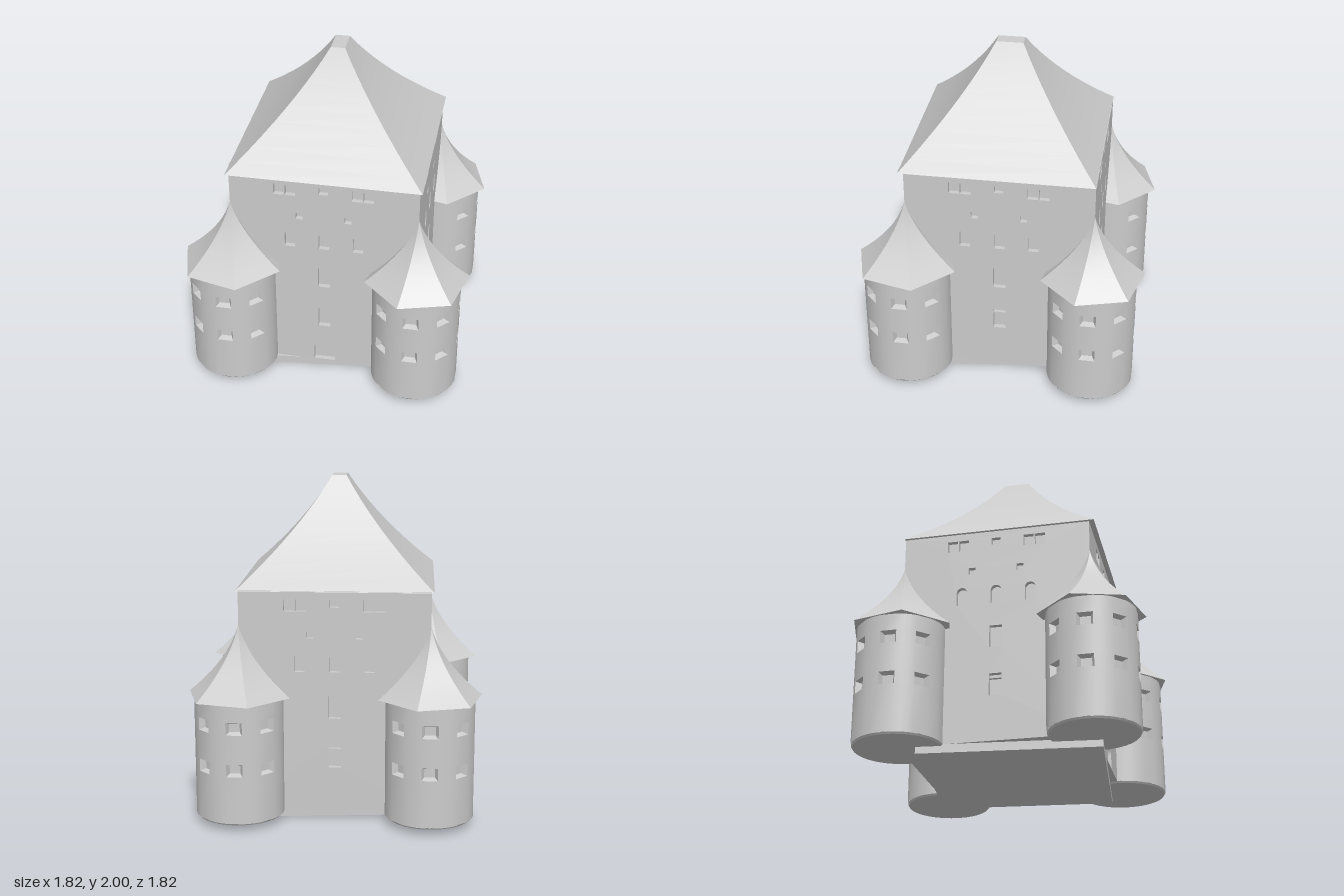
import * as THREE from 'three';
import { toCreasedNormals } from 'three/addons/utils/BufferGeometryUtils.js';

const material = new THREE.MeshStandardMaterial({ color: 0xcccccc });
const RAD = Math.PI / 180;
const HALF = 0.56;        // half width of the keep
const WALL = 0.03;        // depth of the window recesses
const BASE = 0.05, EAVES = 1.38;
const TOWER_R = 0.264, TOWER_EAVES = 0.76;

function part(name, geometry, parent, x = 0, y = 0, z = 0) {
  const mesh = new THREE.Mesh(geometry, material);
  mesh.name = name;
  mesh.position.set(x, y, z);
  parent.add(mesh);
  return mesh;
}

// Collects quads and turns them into a creased geometry
function quadBuilder() {
  const data = [];
  return {
    quad(a, b, c, d) { for (const p of [a, b, c, a, c, d]) data.push(...p); },
    tri(a, b, c) { for (const p of [a, b, c]) data.push(...p); },
    build(crease) {
      const g = new THREE.BufferGeometry();
      g.setAttribute('position', new THREE.Float32BufferAttribute(data, 3));
      return toCreasedNormals(g, crease);
    },
  };
}

// Roof that sweeps inward in a hollow curve from the base polygon to the top polygon
function sweptRoof(base, top, y0, y1, hollow, steps = 10) {
  const b = quadBuilder(), n = base.length;
  const point = (i, s) => {
    const t = s / steps, f = (1 - t) - hollow * t * (1 - t);
    const p = base[i % n], q = top[i % n];
    return [q[0] + (p[0] - q[0]) * f, y0 + (y1 - y0) * t, q[1] + (p[1] - q[1]) * f];
  };
  for (let i = 0; i < n; i++) {
    for (let s = 0; s < steps; s++) {
      b.quad(point(i, s), point(i + 1, s), point(i + 1, s + 1), point(i, s + 1));
    }
    b.tri(point(i + 1, 0), point(i, 0), [0, y0, 0]);
    b.tri(point(i, steps), point(i + 1, steps), [0, y1, 0]);
  }
  return b.build(0.35);
}

// Rectangular opening, or an arched one, centred on x and standing on y
function opening(x, y, w, h, arched = false) {
  const p = new THREE.Path(), r = w / 2;
  p.moveTo(x - r, y);
  p.lineTo(x + r, y);
  if (arched) {
    p.lineTo(x + r, y + h - r);
    p.absarc(x, y + h - r, r, 0, Math.PI, false);
  } else {
    p.lineTo(x + r, y + h);
    p.lineTo(x - r, y + h);
  }
  p.closePath();
  return p;
}

// One wall of the keep, pierced by its windows
function wallGeometry(width, hasDoor) {
  const s = new THREE.Shape();
  const w = width / 2;
  s.moveTo(-w, BASE);
  s.lineTo(w, BASE);
  s.lineTo(w, EAVES);
  s.lineTo(-w, EAVES);
  s.closePath();
  for (const side of [-1, 1]) {
    for (const pane of [-1, 1]) s.holes.push(opening(side * 0.231 + pane * 0.034, 1.26, 0.062, 0.07));
    s.holes.push(opening(side * 0.145, 1.1, 0.042, 0.042));
  }
  s.holes.push(opening(0, 1.285, 0.055, 0.045));
  for (const x of [-0.205, 0, 0.205]) s.holes.push(opening(x, 0.9, 0.062, 0.115, true));
  for (const y of [0.32, 0.62]) s.holes.push(opening(0, y, 0.074, 0.135));
  if (hasDoor) s.holes.push(opening(0, BASE + 0.004, 0.13, 0.15, true));
  return new THREE.ExtrudeGeometry(s, { depth: WALL, bevelEnabled: false, curveSegments: 8 });
}

// Round tower wall with two rows of splayed window recesses
function towerWallGeometry() {
  const b = quadBuilder();
  const rows = [BASE, 0.335, 0.41, 0.585, 0.66, TOWER_EAVES];
  const halfWin = 10.3;
  const at = (deg, y, r = TOWER_R) => [Math.sin(deg * RAD) * r, y, Math.cos(deg * RAD) * r];
  for (let k = 0; k < 8; k++) {
    const mid = -135 + k * 45;
    const gap = (45 - 2 * halfWin) / 3;
    const cols = [mid - halfWin, mid + halfWin, mid + halfWin + gap, mid + halfWin + 2 * gap, mid + 45 - halfWin];
    for (let c = 0; c < 4; c++) {
      for (let r = 0; r < 5; r++) {
        const [a0, a1, y0, y1] = [cols[c], cols[c + 1], rows[r], rows[r + 1]];
        const outer = [at(a0, y0), at(a1, y0), at(a1, y1), at(a0, y1)];
        // Five of the eight bays face outward and carry windows
        if (c === 0 && r % 2 === 1 && k < 5) {
          const R = TOWER_R - 0.035, i0 = a0 + 2.5, i1 = a1 - 2.5;
          const inner = [at(i0, y0 + 0.012, R), at(i1, y0 + 0.012, R), at(i1, y1 - 0.012, R), at(i0, y1 - 0.012, R)];
          b.quad(...inner);
          for (let e = 0; e < 4; e++) {
            const f = (e + 1) % 4;
            b.quad(outer[e], outer[f], inner[f], inner[e]);
          }
        } else {
          b.quad(...outer);
        }
      }
    }
  }
  return b.build(0.42);
}

export function createModel() {
  const castle = new THREE.Group();
  castle.name = 'castle';
  const keep = new THREE.Group();
  keep.name = 'keep';
  keep.rotation.y = 6 * RAD;
  castle.add(keep);

  // Foundation slab, turned a little further than the keep
  const slab = part('foundation', new THREE.BoxGeometry(1.052, BASE, 1.052), castle, 0, BASE / 2, 0.018);
  slab.rotation.y = 11.7 * RAD;

  // Solid core behind the pierced walls
  const core = 2 * (HALF - WALL);
  part('core', new THREE.BoxGeometry(core, EAVES - BASE, core), keep, 0, (EAVES + BASE) / 2, 0);

  // Main roof, ending in a short flat ridge
  const rect = (x, z) => [[-x, z], [x, z], [x, -z], [-x, -z]];
  part('mainRoof', sweptRoof(rect(0.577, 0.577), rect(0.042, 0.08), 1.375, 2, 0.3), keep, 0, 0, 0.014);

  // Shared tower shapes
  const towerWall = towerWallGeometry();
  const hexagon = [], apex = [];
  for (let i = 0; i < 6; i++) {
    const a = (16 + 60 * i) * RAD;
    hexagon.push([Math.sin(a) * 0.315, Math.cos(a) * 0.315]);
    apex.push([0, 0]);
  }
  const towerRoof = sweptRoof(hexagon, apex, TOWER_EAVES, 1.175, 0.6);
  const towerFoot = new THREE.CylinderGeometry(TOWER_R - 0.002, TOWER_R - 0.01, 0.012, 32);

  // Four sides, each with a wall and the tower on its corner
  for (let k = 0; k < 4; k++) {
    const side = new THREE.Group();
    side.name = ['frontSide', 'leftSide', 'backSide', 'rightSide'][k];
    side.rotation.y = k * Math.PI / 2;
    keep.add(side);
    const width = k % 2 ? core : 2 * HALF;
    part('wall', wallGeometry(width, k === 0), side, 0, 0, HALF - WALL);
    if (k > 0) part('windowBar', new THREE.BoxGeometry(0.074, 0.008, 0.02), side, 0, 0.43, HALF - 0.015);

    const tower = new THREE.Group();
    tower.name = 'cornerTower';
    tower.position.set(-HALF, 0, HALF);
    side.add(tower);
    part('towerWall', towerWall, tower);
    part('towerRoof', towerRoof, tower);
    part('towerFoot', towerFoot, tower, 0, BASE - 0.004, 0);
  }
  return castle;
}
